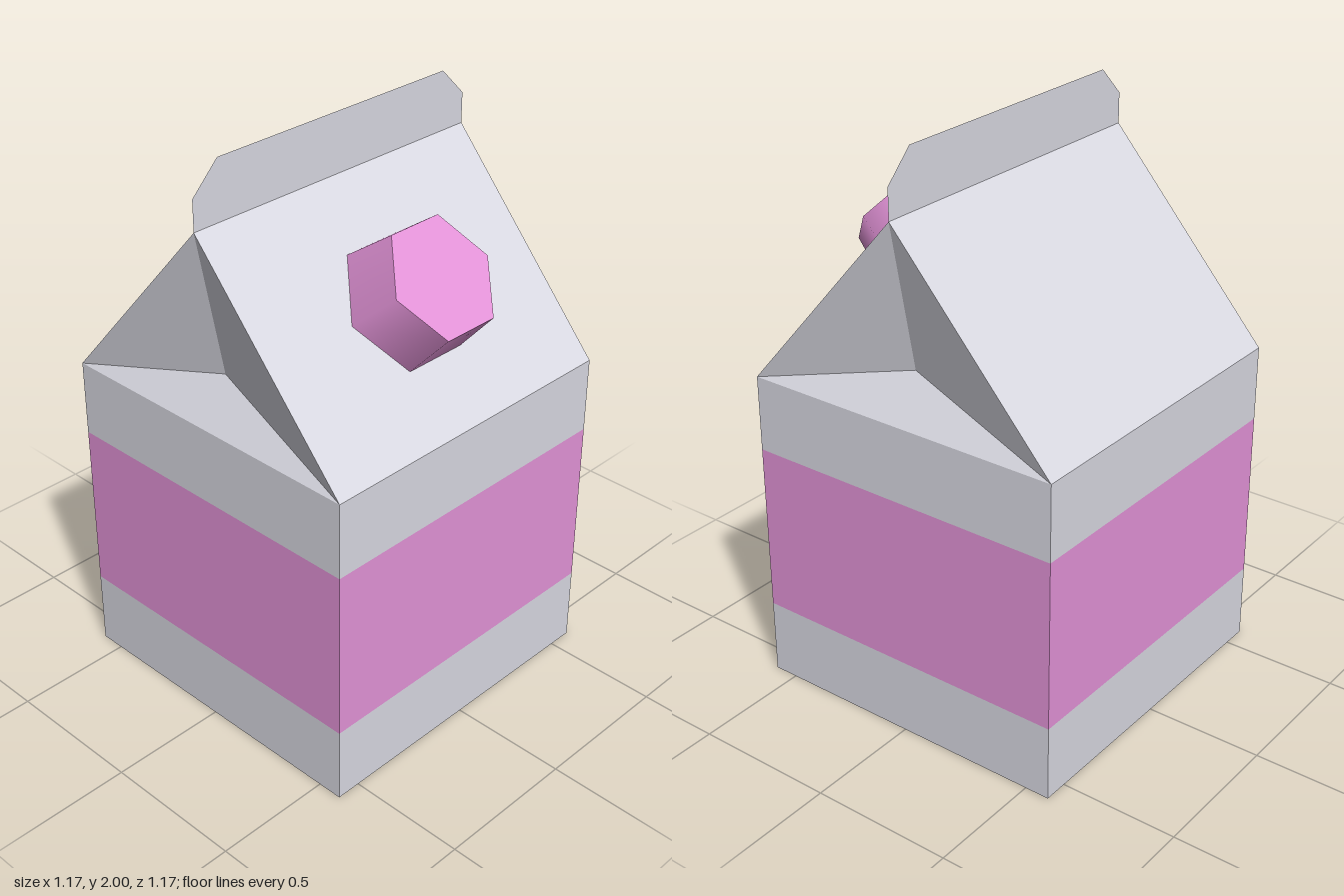
import * as THREE from 'three';

const H = 0.587;          // half width of the square carton
const SHOULDER = 1.13;    // top of the walls
const RIDGE = 1.795;      // top of the sloped roof
const TOP = 2;            // top of the sealing fin

const paper = new THREE.MeshStandardMaterial({ name: 'paleGrey', color: 0xdadae3 });
const paperThin = new THREE.MeshStandardMaterial({ name: 'paleGreyThin', color: 0xdadae3, side: THREE.DoubleSide });
const pink = new THREE.MeshStandardMaterial({ name: 'pink', color: 0xe494d9 });

// Flat-shaded mesh from convex polygons, corners counter-clockwise from outside
function facets(name, material, polygons) {
  const points = [];
  for (const p of polygons) {
    for (let i = 1; i < p.length - 1; i++) points.push(...p[0], ...p[i], ...p[i + 1]);
  }
  const geometry = new THREE.BufferGeometry();
  geometry.setAttribute('position', new THREE.Float32BufferAttribute(points, 3));
  geometry.computeVertexNormals();
  const mesh = new THREE.Mesh(geometry, material);
  mesh.name = name;
  return mesh;
}

// Four walls between two heights
function wallRing(name, material, y0, y1) {
  const corners = [[-H, H], [H, H], [H, -H], [-H, -H]];
  return facets(name, material, corners.map(([ax, az], i) => {
    const [bx, bz] = corners[(i + 1) % 4];
    return [[ax, y0, az], [bx, y0, bz], [bx, y1, bz], [ax, y1, az]];
  }));
}

export function createModel() {
  const carton = new THREE.Group();
  carton.name = 'carton';

  // Walls with a coloured band, and the coloured underside
  carton.add(
    wallRing('lowerWalls', paper, 0, 0.267),
    wallRing('colourBand', pink, 0.267, 0.865),
    wallRing('upperWalls', paper, 0.865, SHOULDER),
    facets('base', pink, [[[-H, 0, -H], [H, 0, -H], [H, 0, H], [-H, 0, H]]]),
  );

  // Two sloped roof panels, and gable ends folded inwards
  const fold = [0, 1.284, 0.485];
  const left = [H, SHOULDER, H], right = [-H, SHOULDER, H], apex = [0, RIDGE, H];
  const slope = [left, [H, SHOULDER, -H], [0, RIDGE, -H], apex];
  const gable = [[right, left, fold], [left, apex, fold], [apex, right, fold]];
  for (const turn of [0, Math.PI]) {
    const roof = facets('roofPanel', paper, [slope]);
    const end = facets('foldedGable', paper, gable);
    roof.rotation.y = end.rotation.y = turn;
    carton.add(roof, end);
  }

  // Thin sealing fin along the ridge with clipped corners
  const c = 0.1;
  carton.add(facets('sealingFin', paperThin, [[
    [0, RIDGE, H], [0, RIDGE, -H], [0, TOP - c, -H],
    [0, TOP, -H + c], [0, TOP, H - c], [0, TOP - c, H],
  ]]));

  // Six-sided screw cap standing square to the left roof panel
  const cap = new THREE.Mesh(new THREE.CylinderGeometry(0.206, 0.233, 0.205, 6), pink);
  cap.name = 'screwCap';
  cap.position.set(0.369, 1.53, 0);
  cap.rotation.z = -Math.atan2(RIDGE - SHOULDER, H);
  carton.add(cap);

  return carton;
}
